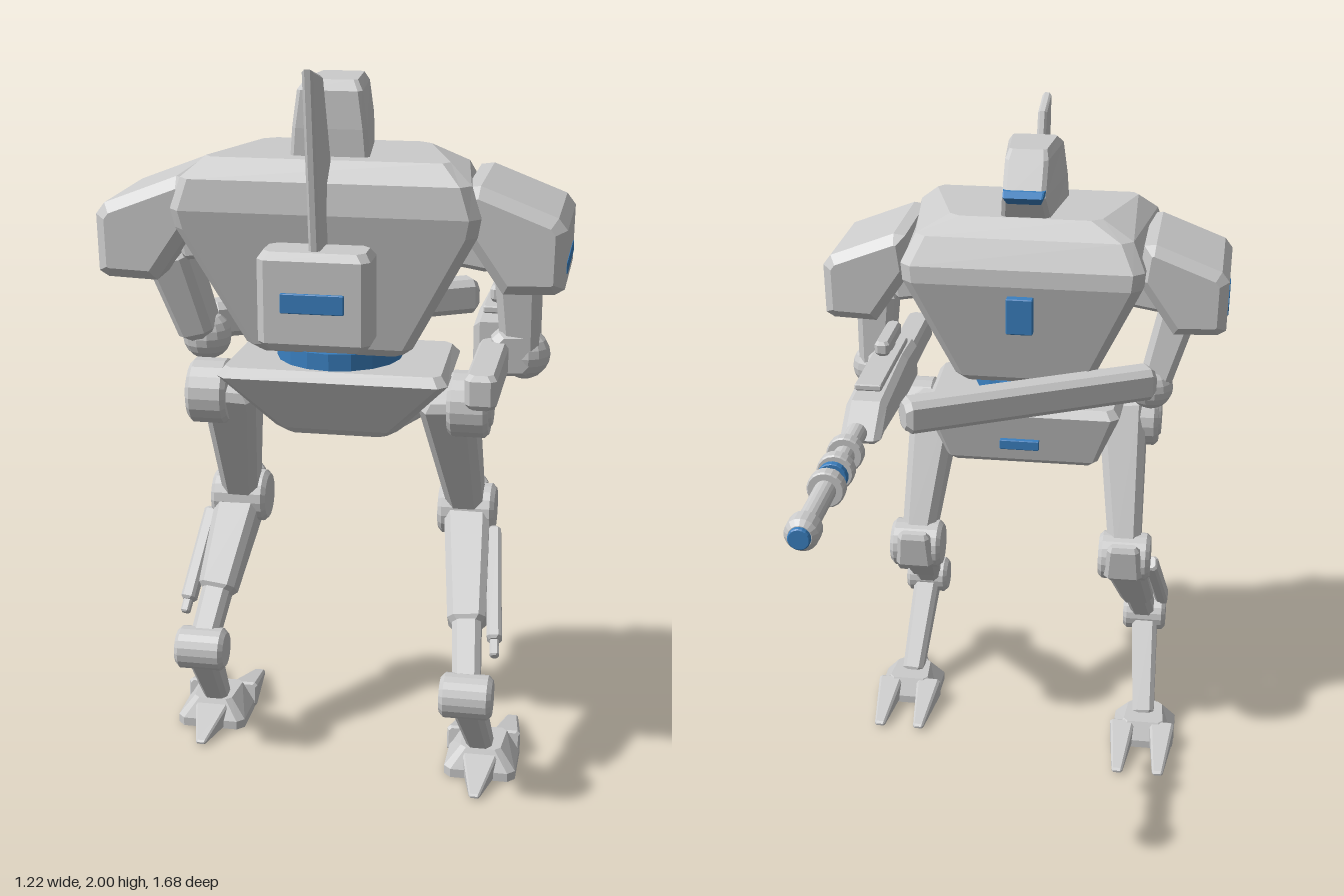
import * as THREE from 'three';

const grey = new THREE.MeshStandardMaterial({ color: 0xcccccc, flatShading: true });
const blue = new THREE.MeshStandardMaterial({ color: 0x3a80c0, flatShading: true });
const V = (x, y, z) => new THREE.Vector3(x, y, z);

// Trapezoid ring with cut corners, counter-clockwise from above
function ring(y, hxBack, hxFront, zBack, zFront, cut) {
  const corners = [V(hxFront, y, zFront), V(-hxFront, y, zFront), V(-hxBack, y, zBack), V(hxBack, y, zBack)];
  return corners.flatMap((p, i) => [corners[(i + 3) % 4], corners[(i + 1) % 4]].map((q) =>
    p.clone().addScaledVector(q.clone().sub(p).normalize(), cut)));
}

// Closed skin over stacked rings, bottom to top
function loft(rings) {
  const n = rings[0].length, index = [], last = (rings.length - 1) * n;
  for (let r = 0; r < rings.length - 1; r++) {
    for (let i = 0; i < n; i++) {
      const a = r * n + i, b = r * n + (i + 1) % n;
      index.push(a, b, b + n, a, b + n, a + n);
    }
  }
  for (let i = 1; i < n - 1; i++) index.push(0, i + 1, i, last, last + i, last + i + 1);
  const indexed = new THREE.BufferGeometry().setFromPoints(rings.flat());
  indexed.setIndex(index);
  const geometry = indexed.toNonIndexed();
  geometry.computeVertexNormals();
  return geometry;
}

export function createModel() {
  const model = new THREE.Group();
  model.name = 'walkerRobot';

  function add(name, geometry, material = grey, parent = model) {
    const mesh = new THREE.Mesh(geometry, material);
    mesh.name = name;
    parent.add(mesh);
    return mesh;
  }

  // Bevelled tapering beam from a to b; sizes are [width, depth] at each end
  function beam(name, a, b, s0, s1, bevel = 0.012, material = grey, parent = model) {
    const dir = b.clone().sub(a), length = dir.length();
    dir.normalize();
    const section = (y, [w, d], inset) => {
      const hx = w / 2 - inset, hz = d / 2 - inset;
      return ring(y, hx, hx, hz, -hz, Math.min(bevel, hx * 0.6, hz * 0.6));
    };
    const geometry = loft([section(0, s0, bevel * 0.7), section(bevel, s0, 0),
      section(length - bevel, s1, 0), section(length, s1, bevel * 0.7)]);
    const ref = Math.abs(dir.x) > 0.8 ? V(0, 0, 1) : V(1, 0, 0);
    const x = ref.addScaledVector(dir, -ref.dot(dir)).normalize();
    const basis = new THREE.Matrix4().makeBasis(x, dir, x.clone().cross(dir)).setPosition(a);
    return add(name, geometry.applyMatrix4(basis), material, parent);
  }

  const box = (name, x, y, z, w, h, d, bevel = 0.012, material = grey, parent = model) =>
    beam(name, V(x, y - h / 2, z), V(x, y + h / 2, z), [w, d], [w, d], bevel, material, parent);

  // Chamfered drum along x or z
  function drum(name, axis, x, y, z, r, length, material = grey, parent = model, chamfer = 0.012) {
    const h = length / 2;
    const points = [[0, -h], [r - chamfer, -h], [r, chamfer - h], [r, h - chamfer], [r - chamfer, h], [0, h]];
    const geometry = new THREE.LatheGeometry(points.map((p) => new THREE.Vector2(...p)), 18);
    if (axis === 'x') geometry.rotateZ(-Math.PI / 2); else geometry.rotateX(Math.PI / 2);
    return add(name, geometry.translate(x, y, z), material, parent);
  }

  // Extrusion centred on its depth, with a bevel kept inside the outline
  function plate(points, depth, bevel) {
    const shape = new THREE.Shape(points.map((p) => new THREE.Vector2(...p)));
    return new THREE.ExtrudeGeometry(shape, { depth: depth - 2 * bevel, bevelEnabled: bevel > 0,
      bevelThickness: bevel, bevelSize: bevel, bevelOffset: -bevel, bevelSegments: 1 })
      .translate(0, 0, bevel - depth / 2);
  }
  // Outline given as [z, y], thickness along x
  const sidePlate = (points, depth, bevel, x) => plate(points, depth, bevel).rotateY(-Math.PI / 2).translate(x, 0, 0);

  // Torso and head
  add('torso', loft([
    ring(1.235, 0.19, 0.19, 0.59, 0.3, 0.02), ring(1.26, 0.22, 0.21, 0.62, 0.27, 0.025),
    ring(1.57, 0.39, 0.355, 0.68, 0.205, 0.03), ring(1.62, 0.4, 0.36, 0.69, 0.21, 0.03),
    ring(1.7, 0.375, 0.32, 0.68, 0.255, 0.03), ring(1.75, 0.32, 0.22, 0.63, 0.31, 0.025)]));
  add('head', loft([
    ring(1.73, 0.105, 0.075, 0.58, 0.33, 0.012), ring(1.82, 0.098, 0.063, 0.582, 0.27, 0.012),
    ring(1.915, 0.085, 0.063, 0.578, 0.335, 0.012), ring(1.94, 0.068, 0.055, 0.55, 0.37, 0.01)]));
  add('visor', loft([ring(1.8, 0.058, 0.05, 0.31, 0.28, 0.004), ring(1.825, 0.066, 0.058, 0.31, 0.25, 0.004),
    ring(1.84, 0.066, 0.06, 0.31, 0.272, 0.004)]), blue);
  box('chestPanel', 0, 1.487, 0.195, 0.08, 0.11, 0.03, 0.003, blue);

  // Backpack and fin
  box('backpack', 0, 1.425, 0.745, 0.285, 0.25, 0.13, 0.02);
  box('backpackPanel', 0, 1.425, 0.808, 0.16, 0.05, 0.02, 0.002, blue);
  add('backFin', sidePlate([[0.84, 2], [0.715, 1.97], [0.62, 1.74], [0.66, 1.54], [0.78, 1.54]], 0.028, 0.007, 0));

  // Waist and pelvis
  add('waist', new THREE.CylinderGeometry(0.15, 0.08, 0.14, 16).translate(0, 1.19, 0.44));
  add('waistRing', new THREE.CylinderGeometry(0.17, 0.17, 0.045, 18).translate(0, 1.215, 0.44), blue);
  add('pelvis', loft([
    ring(0.98, 0.13, 0.22, 0.5, 0.27, 0.015), ring(1, 0.16, 0.24, 0.52, 0.245, 0.02),
    ring(1.155, 0.31, 0.3, 0.6, 0.215, 0.025), ring(1.18, 0.29, 0.28, 0.58, 0.235, 0.02)]));
  box('pelvisPanel', 0, 1.07, 0.2, 0.12, 0.03, 0.018, 0.002, blue);

  for (const s of [1, -1]) {
    const side = s > 0 ? 'left' : 'right';

    // Shoulder pad with stripe
    const pad = [[0.355, 1.69], [0.39, 1.695], [0.585, 1.62], [0.608, 1.59], [0.605, 1.44], [0.58, 1.425], [0.45, 1.42], [0.34, 1.58]];
    add(side + 'ShoulderPad', plate(pad.map(([x, y]) => [x * s, y]), 0.39, 0.028).translate(0, 0, 0.45));
    box(side + 'ShoulderStripe', s * 0.603, 1.487, 0.455, 0.012, 0.03, 0.26, 0.002, blue);
    beam(side + 'ShoulderJoint', V(s * 0.3, 1.55, 0.45), V(s * 0.42, 1.53, 0.45), [0.16, 0.16], [0.16, 0.16]);

    // Leg: one stands further back than the other
    const leg = new THREE.Group();
    leg.name = side + 'Leg';
    model.add(leg);
    const az = s > 0 ? 0.69 : 0.53;
    const knee = V(s * 0.33, 0.69, 0.24), ankle = V(s * 0.385, 0.33, az);
    drum('hip', 'x', s * 0.355, 1.075, 0.46, 0.09, 0.11, grey, leg);
    drum('hipCap', 'x', s * 0.4, 1.075, 0.46, 0.065, 0.035, grey, leg);
    beam('thigh', V(s * 0.295, 1.12, 0.465), knee, [0.15, 0.16], [0.1, 0.1], 0.022, grey, leg);
    drum('knee', 'x', knee.x, knee.y, knee.z, 0.075, 0.16, grey, leg);
    beam('kneeCap', V(s * 0.33, 0.64, 0.19), V(s * 0.33, 0.76, 0.165), [0.12, 0.06], [0.1, 0.04], 0.015, grey, leg);
    const along = (t) => knee.clone().lerp(ankle, t);
    beam('upperShin', along(0), along(0.65), [0.13, 0.12], [0.105, 0.09], 0.018, grey, leg);
    beam('lowerShin', along(0.6), ankle, [0.08, 0.075], [0.075, 0.07], 0.015, grey, leg);
    const out = V(s * 0.075, 0.005, 0);
    beam('shinStrut', along(0.12).add(out), along(0.72).add(out), [0.04, 0.05], [0.04, 0.05], 0.008, grey, leg);
    beam('shinPiston', along(0.3).add(out), along(0.8).add(out), [0.025, 0.028], [0.025, 0.028], 0.005, grey, leg);
    drum('ankle', 'x', ankle.x, ankle.y, ankle.z, 0.06, 0.14, grey, leg);
    beam('metatarsal', ankle, V(s * 0.405, 0.06, az - 0.23), [0.085, 0.085], [0.07, 0.06], 0.014, grey, leg);

    // Foot with two front claws and a heel spur
    add('foot', loft([ring(0, 0.1, 0.1, az - 0.14, az - 0.33, 0.02), ring(0.025, 0.1, 0.1, az - 0.14, az - 0.33, 0.02),
      ring(0.08, 0.055, 0.065, az - 0.17, az - 0.3, 0.015)]).translate(s * 0.408, 0, 0), grey, leg);
    for (const t of [-1, 1]) {
      const x = s * 0.405 + t * 0.065;
      beam('frontClaw', V(x, 0.042, az - 0.28), V(x, 0.012, az - 0.495), [0.08, 0.075], [0.035, 0.018], 0.008, grey, leg);
    }
    beam('heelSpur', V(s * 0.408, 0.035, az - 0.18), V(s * 0.408, 0.008, az - 0.03), [0.1, 0.07], [0.03, 0.014], 0.006, grey, leg);
  }

  // Left arm holding the gun
  beam('leftUpperArm', V(0.475, 1.47, 0.445), V(0.485, 1.22, 0.43), [0.12, 0.14], [0.1, 0.12], 0.02);
  add('leftElbow', new THREE.SphereGeometry(0.068, 14, 10).translate(0.495, 1.215, 0.43));
  beam('leftForearm', V(0.47, 1.225, 0.5), V(0.43, 1.225, 0.27), [0.11, 0.12], [0.1, 0.11], 0.018);

  // Right arm reaching across the front
  beam('rightUpperArm', V(-0.465, 1.47, 0.445), V(-0.395, 1.22, 0.4), [0.12, 0.14], [0.1, 0.12], 0.02);
  add('rightElbow', new THREE.SphereGeometry(0.068, 14, 10).translate(-0.385, 1.21, 0.38));
  beam('rightForearm', V(-0.39, 1.245, 0.34), V(0.31, 1.25, -0.04), [0.09, 0.1], [0.09, 0.1], 0.018);

  // Gun
  const gx = 0.418;
  add('gunBody', sidePlate([[0.45, 1.17], [0.29, 1.17], [-0.14, 1.2], [-0.15, 1.212], [-0.04, 1.29], [0.29, 1.31], [0.45, 1.3]], 0.12, 0.018, gx));
  box('gunRail', gx, 1.318, 0.19, 0.08, 0.02, 0.4, 0.004);
  box('gunStock', gx, 1.215, 0.63, 0.08, 0.09, 0.36, 0.014);
  box('scope', gx, 1.36, 0.29, 0.045, 0.045, 0.2, 0.01);
  box('scopeMount', gx, 1.335, 0.3, 0.03, 0.04, 0.06, 0.004);
  const gy = 1.247;
  drum('barrel', 'z', gx, gy, -0.465, 0.03, 0.6, grey, model, 0.005);
  for (const z of [-0.31, -0.425, -0.535]) drum('barrelCollar', 'z', gx, gy, z, 0.052, 0.037, grey, model, 0.004);
  drum('barrelGlowRing', 'z', gx, gy, -0.467, 0.042, 0.022, blue, model, 0.002);
  drum('muzzle', 'z', gx, gy, -0.788, 0.046, 0.075, grey, model, 0.014);
  drum('muzzleTip', 'z', gx, gy, -0.82, 0.03, 0.04, blue, model, 0.003);

  return model;
}
